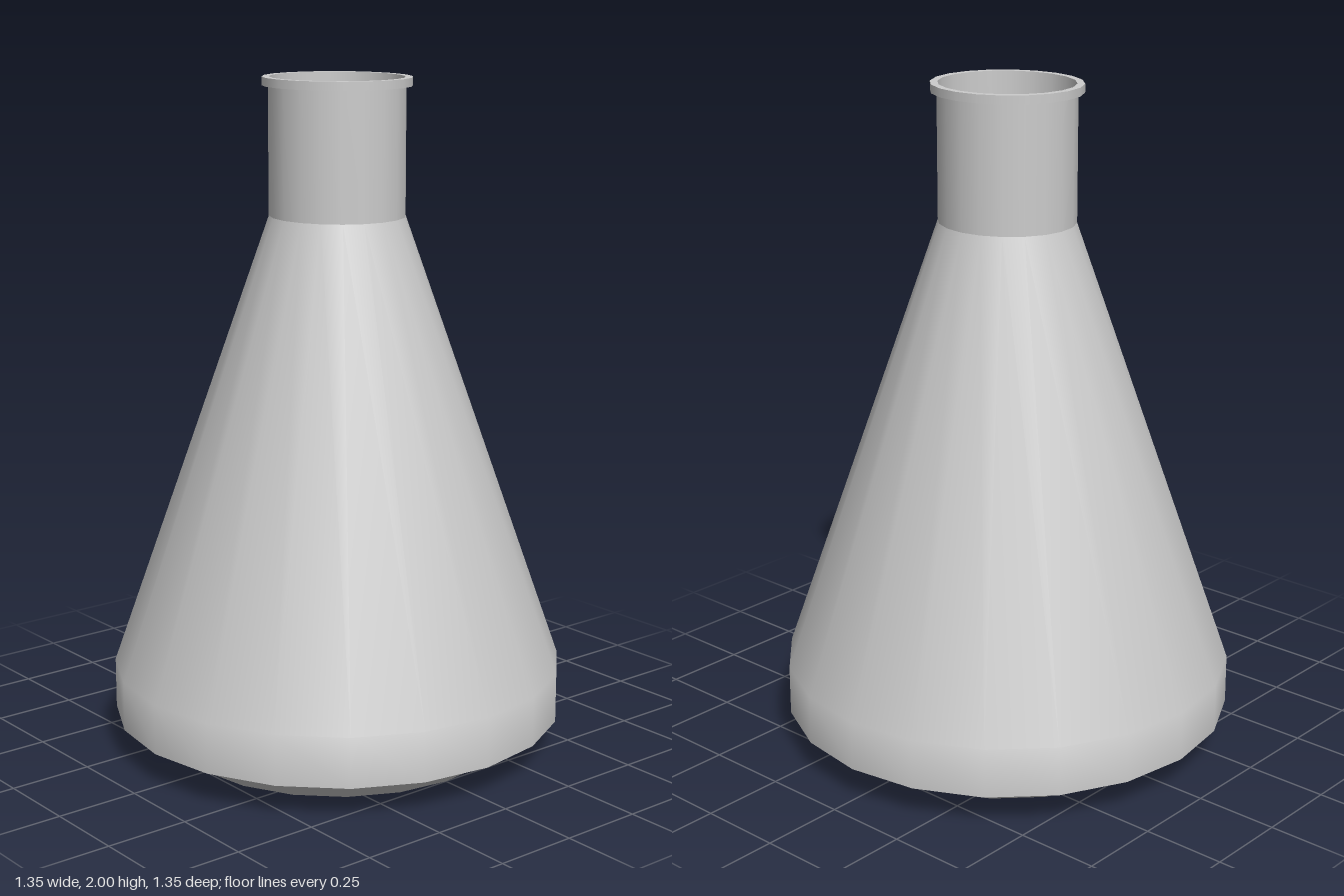
import * as THREE from 'three';

const SIDES = 20;
const OVAL = 0.95; // the neck is slightly narrower in x than in z

export function createModel() {
  const group = new THREE.Group();
  const material = new THREE.MeshStandardMaterial({ color: 0xcccccc, side: THREE.DoubleSide });

  // Turned surface from [radius, height] points, listed bottom to top on the outside
  function turned(name, profile, ovalFrom = Infinity) {
    const geometry = new THREE.LatheGeometry(profile.map(([r, y]) => new THREE.Vector2(r, y)), SIDES);
    const pos = geometry.attributes.position;
    for (let i = 0; i < pos.count; i++) {
      if (pos.getY(i) >= ovalFrom) pos.setX(i, pos.getX(i) * OVAL);
    }
    const mesh = new THREE.Mesh(geometry, material);
    mesh.name = name;
    group.add(mesh);
  }

  // Base: flat disc, bevel and the narrow ledge under the wall
  turned('baseDisc', [[0, 0], [0.5, 0]]);
  turned('baseBevel', [[0.5, 0], [0.652, 0.1]]);
  turned('baseLedge', [[0.652, 0.1], [0.675, 0.1]]);

  // Short upright wall flowing into the long cone
  turned('body', [[0.675, 0.1], [0.675, 0.25], [0.206, 1.6]], 1.59);

  // Open, thin-walled neck
  turned('neck', [[0.206, 1.6], [0.206, 2]], 1.59);

  // Lip: underside, outer band and top ring
  turned('lipUnderside', [[0.206, 1.975], [0.225, 1.975]], 1.9);
  turned('lipBand', [[0.225, 1.975], [0.225, 2]], 1.9);
  turned('lipTop', [[0.225, 2], [0.203, 2]], 1.9);

  return group;
}
